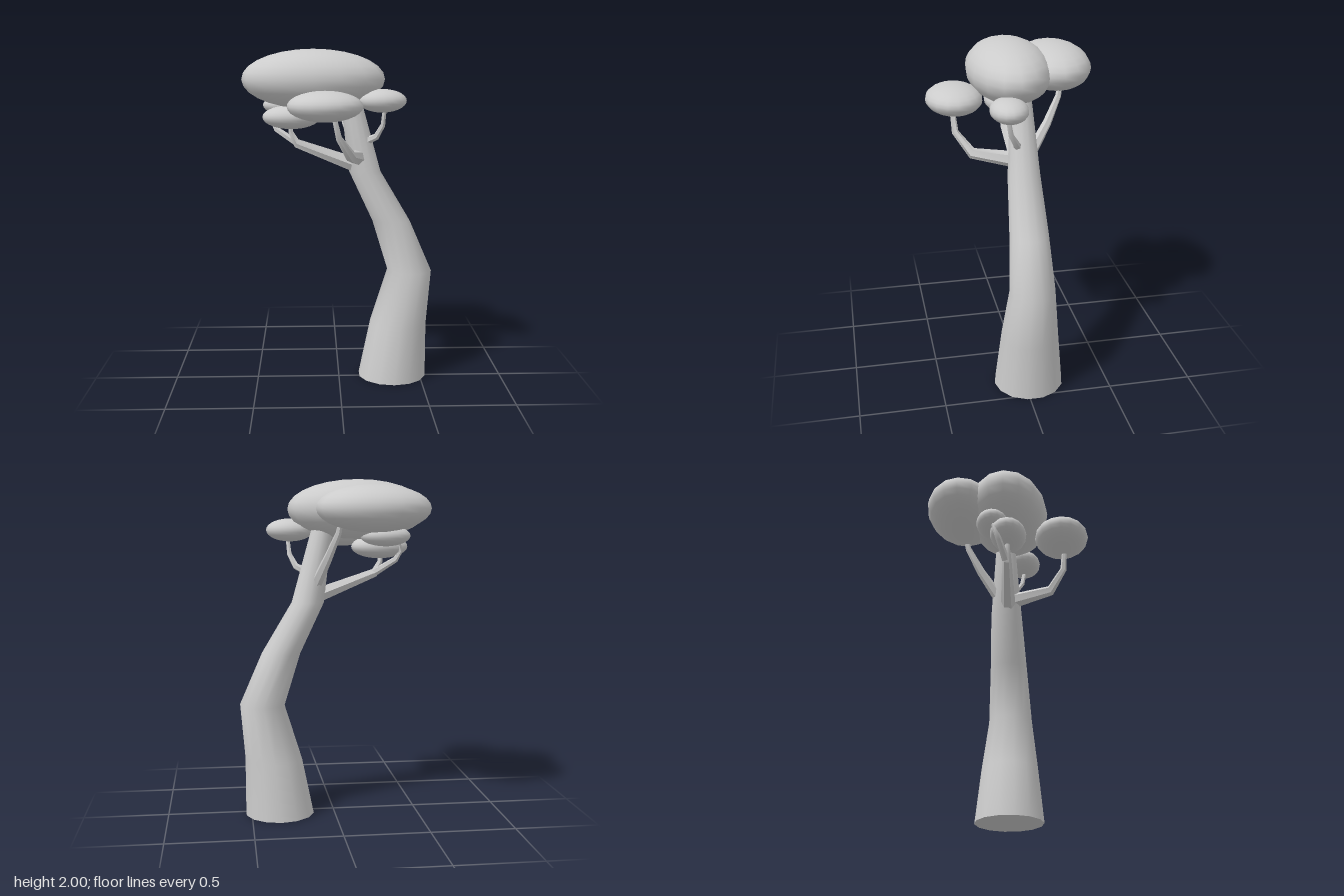
import * as THREE from 'three';
import { mergeVertices, toCreasedNormals } from 'three/addons/utils/BufferGeometryUtils.js';

const UP = new THREE.Vector3(0, 1, 0);

// Bends a cylinder through stations [x, y, z, radius]; level rings or rings square to the path
function limb(stations, sides, level) {
  const n = stations.length - 1;
  const points = stations.map(s => new THREE.Vector3(s[0], s[1], s[2]));
  const turns = points.map((p, i) => {
    const dir = points[Math.min(i + 1, n)].clone().sub(points[Math.max(i - 1, 0)]).normalize();
    return new THREE.Quaternion().setFromUnitVectors(UP, level ? UP : dir);
  });
  let geo = new THREE.CylinderGeometry(1, 1, 1, sides, n);
  const pos = geo.attributes.position;
  const v = new THREE.Vector3();
  for (let i = 0; i < pos.count; i++) {
    v.fromBufferAttribute(pos, i);
    const k = Math.round((v.y + 0.5) * n);
    v.y = 0;
    v.multiplyScalar(stations[k][3]).applyQuaternion(turns[k]).add(points[k]);
    pos.setXYZ(i, v.x, v.y, v.z);
  }
  geo.deleteAttribute('uv');
  geo.deleteAttribute('normal');
  geo = mergeVertices(geo, 1e-5);
  return toCreasedNormals(geo, 0.75);
}

export function createModel() {
  const tree = new THREE.Group();
  tree.name = 'tree';
  const material = new THREE.MeshStandardMaterial({ color: 0xcccccc });

  const add = (name, geometry) => {
    const mesh = new THREE.Mesh(geometry, material);
    mesh.name = name;
    tree.add(mesh);
    return mesh;
  };

  // Leaning, tapering trunk with a kink to the side
  add('trunk', limb([
    [0.33, 0, -0.03, 0.208],
    [0.365, 0.34, -0.03, 0.173],
    [0.43, 0.67, -0.03, 0.135],
    [0.315, 0.98, -0.032, 0.115],
    [0.155, 1.28, -0.034, 0.096],
    [0.07, 1.71, -0.032, 0.062],
  ], 14, true));

  // Branches, each ending inside a foliage clump
  const branches = {
    sideBranch: [[0.12, 1.31, -0.02, 0.048], [-0.25, 1.45, 0, 0.028], [-0.285, 1.52, 0.005, 0.016], [-0.28, 1.6, 0.01, 0.013]],
    sideTwig: [[-0.23, 1.44, 0, 0.024], [-0.37, 1.53, -0.04, 0.018], [-0.395, 1.58, -0.06, 0.014], [-0.37, 1.67, -0.08, 0.012]],
    frontBranch: [[0.12, 1.36, -0.02, 0.05], [0.06, 1.4, 0.25, 0.032], [-0.01, 1.51, 0.335, 0.02], [-0.04, 1.64, 0.345, 0.015]],
    backBranch: [[0.11, 1.39, -0.08, 0.035], [0.05, 1.55, -0.19, 0.026], [0, 1.69, -0.265, 0.018], [-0.01, 1.76, -0.28, 0.015]],
    shortBranch: [[0.14, 1.45, 0, 0.026], [0.22, 1.49, 0.02, 0.02], [0.255, 1.56, 0.06, 0.015], [0.265, 1.67, 0.08, 0.012]],
  };
  for (const [name, stations] of Object.entries(branches)) add(name, limb(stations, 6, false));

  // Foliage: flattened ellipsoids, [centre], [radii]
  const foliage = {
    crownFoliage: [[-0.15, 1.825, 0], [0.42, 0.175, 0.245]],
    backFoliage: [[-0.2, 1.828, -0.275], [0.33, 0.135, 0.22]],
    frontFoliage: [[-0.087, 1.687, 0.328], [0.212, 0.087, 0.165]],
    shortBranchFoliage: [[0.25, 1.703, 0.07], [0.142, 0.068, 0.108]],
    sideFoliage: [[-0.28, 1.605, 0.01], [0.17, 0.07, 0.11]],
    sideTwigFoliage: [[-0.3, 1.67, -0.08], [0.15, 0.062, 0.1]],
  };
  const ball = new THREE.SphereGeometry(1, 16, 14);
  for (const [name, [centre, radii]] of Object.entries(foliage)) {
    const clump = add(name, ball);
    clump.position.set(...centre);
    clump.scale.set(...radii);
  }
  return tree;
}
